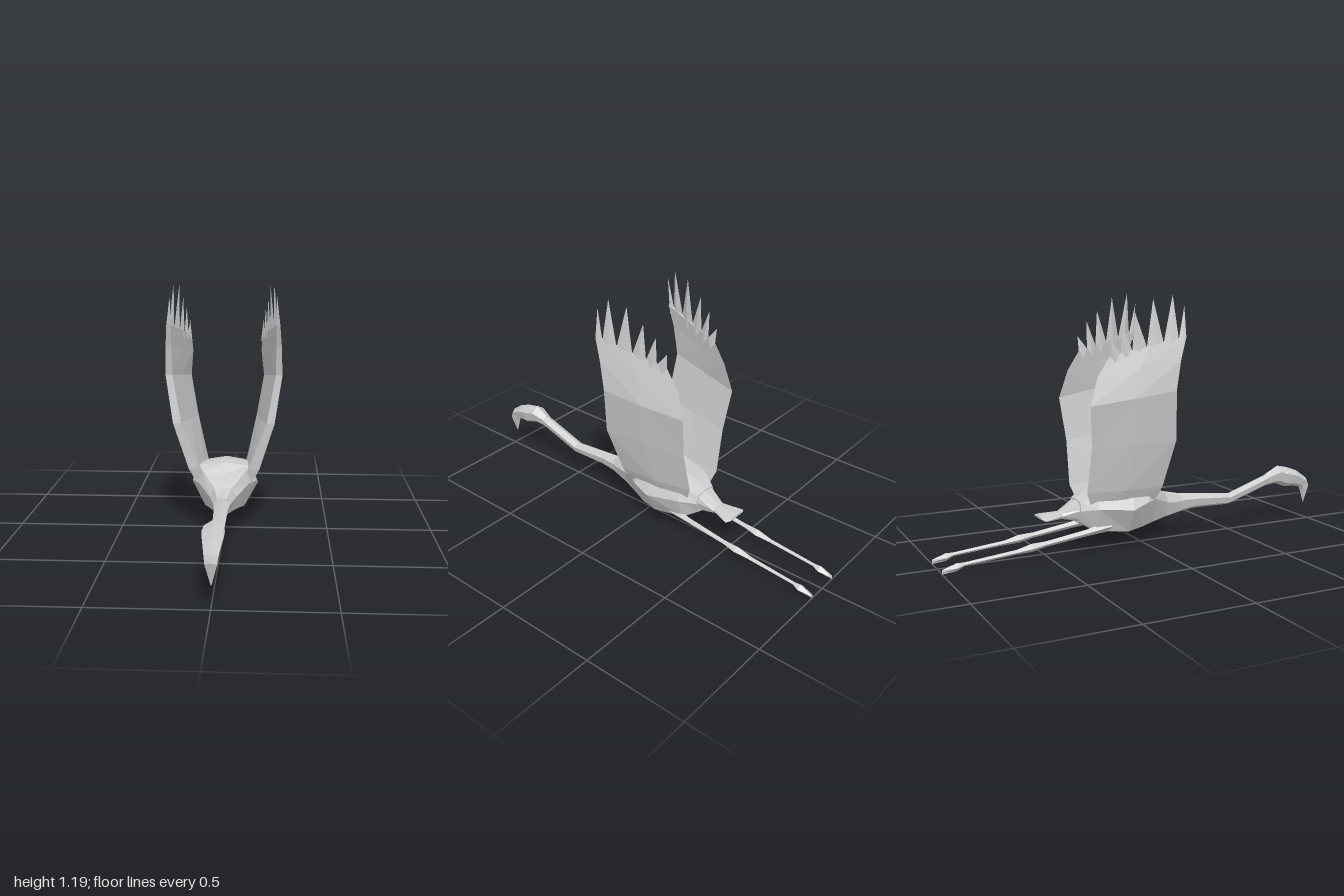
import * as THREE from 'three';

const material = new THREE.MeshStandardMaterial({ color: 0xcccccc, flatShading: true, side: THREE.DoubleSide });

// Skins a list of equal-sized point rings ([x, y, z]), closes both ends, faces outward.
function loft(name, rings) {
  const tris = [];
  const n = rings[0].length;
  const centre = (ring) => [0, 1, 2].map((k) => ring.reduce((s, p) => s + p[k], 0) / n);
  for (let i = 0; i < rings.length - 1; i++) {
    for (let j = 0; j < n; j++) {
      const k = (j + 1) % n;
      const a = rings[i][j], b = rings[i][k], c = rings[i + 1][k], d = rings[i + 1][j];
      tris.push([a, b, c], [a, c, d]);
    }
  }
  const first = rings[0], last = rings[rings.length - 1];
  for (let j = 0; j < n; j++) {
    const k = (j + 1) % n;
    tris.push([centre(first), first[k], first[j]], [centre(last), last[j], last[k]]);
  }
  // A negative enclosed volume means the faces point inward
  let volume = 0;
  for (const [a, b, c] of tris) {
    volume += new THREE.Vector3(...a).dot(new THREE.Vector3(...b).cross(new THREE.Vector3(...c)));
  }
  if (volume < 0) tris.forEach((t) => t.reverse());
  const geometry = new THREE.BufferGeometry();
  geometry.setAttribute('position', new THREE.Float32BufferAttribute(tris.flat(2), 3));
  geometry.computeVertexNormals();
  const mesh = new THREE.Mesh(geometry, material);
  mesh.name = name;
  return mesh;
}

// Six-sided ring between a top and a bottom point of the centre line
function neckRing([topZ, topY, botZ, botY, w]) {
  const at = (x, t) => [x, topY + (botY - topY) * t, topZ + (botZ - topZ) * t];
  return [at(0, 0), at(w, 0.3), at(w * 0.75, 0.8), at(0, 1), at(-w * 0.75, 0.8), at(-w, 0.3)];
}

// Eight-sided body ring: spine, deck edge, flank, lower flank, keel
function bodyRing([z, topY, deckX, deckY, sideX, sideY, lowX, lowY, botY]) {
  return [
    [0, topY, z], [deckX, deckY, z], [sideX, sideY, z], [lowX, lowY, z],
    [0, botY, z], [-lowX, lowY, z], [-sideX, sideY, z], [-deckX, deckY, z],
  ];
}

// Diamond ring for the thin legs
const legRing = (x) => ([z, y, w, h]) => [[x, y + h, z], [x + w, y, z], [x, y - h, z], [x - w, y, z]];

const mix = (a, b, t) => a + (b - a) * t;

function createWing(side) {
  const wing = new THREE.Group();
  wing.name = side > 0 ? 'leftWing' : 'rightWing';

  // Leading edge x, y, z; trailing edge x, y, z; thickness
  const sections = [
    [0.12, 0.2, 0.0, 0.08, 0.2, -0.29, 0.04],
    [0.17, 0.3, 0.03, 0.105, 0.29, -0.325, 0.05],
    [0.24, 0.53, 0.065, 0.15, 0.5, -0.32, 0.035],
    [0.275, 0.76, 0.045, 0.185, 0.7, -0.34, 0.028],
    [0.27, 0.9, 0.07, 0.172, 0.83, -0.3, 0.022],
    [0.262, 1.0, 0.1, 0.175, 0.92, -0.24, 0.016],
  ];
  wing.add(loft('wingBlade', sections.map(([lx, ly, lz, tx, ty, tz, t]) => {
    const at = (f, dx) => [side * (mix(lx, tx, f) + dx), mix(ly, ty, f), mix(lz, tz, f)];
    return [at(0, 0), at(0.03, -t), at(0.5, -t * 0.6), at(1, 0), at(0.5, t * 0.3)];
  })));

  // Pointed flight feathers along the wing end; tips as x, y, z
  const tips = [
    [0.245, 1.14, 0.098], [0.232, 1.19, 0.045], [0.215, 1.172, -0.045],
    [0.205, 1.11, -0.13], [0.193, 1.06, -0.19], [0.182, 0.99, -0.243],
  ];
  const splits = [0, 0.1, 0.3, 0.52, 0.71, 0.86, 1];
  const [lx, ly, lz, tx, ty, tz] = sections[sections.length - 1];
  tips.forEach(([x, y, z], i) => {
    const base = (f, dx, dy) => [side * (mix(lx, tx, f) + dx), mix(ly, ty, f) + dy, mix(lz, tz, f)];
    const a = splits[i], b = splits[i + 1], m = (a + b) / 2;
    const root = [base(a, 0, 0), base(m, 0.007, -0.04), base(b, 0, 0), base(m, -0.012, -0.04)];
    wing.add(loft('flightFeather', [root, root.map(() => [side * x, y, z])]));
  });
  return wing;
}

function createLeg(side) {
  const leg = new THREE.Group();
  leg.name = side > 0 ? 'leftLeg' : 'rightLeg';
  const ring = legRing(side * 0.085);
  // Thigh, knee and shin: z, y, half width, half height
  leg.add(loft('shank', [
    [-0.2, 0.12, 0.02, 0.025], [-0.32, 0.1, 0.014, 0.016], [-0.52, 0.073, 0.012, 0.013],
    [-0.59, 0.064, 0.022, 0.019], [-0.66, 0.054, 0.012, 0.011], [-0.91, 0.031, 0.009, 0.009],
  ].map(ring)));
  leg.add(loft('foot', [
    [-0.9, 0.032, 0.008, 0.008], [-0.935, 0.024, 0.021, 0.018], [-1, 0.01, 0.002, 0.01],
  ].map(ring)));
  return leg;
}

export function createModel() {
  const bird = new THREE.Group();
  bird.name = 'flyingWadingBird';

  // Head and down-bent bill
  bird.add(loft('head', [
    [0.73, 0.265, 0.72, 0.203, 0.026], [0.8, 0.3, 0.79, 0.208, 0.042], [0.86, 0.287, 0.85, 0.185, 0.046],
    [0.92, 0.265, 0.9, 0.184, 0.038],
  ].map(neckRing)));
  bird.add(loft('bill', [
    [0.92, 0.265, 0.9, 0.184, 0.038], [0.985, 0.22, 0.94, 0.175, 0.029],
    [1, 0.19, 0.95, 0.155, 0.025], [0.972, 0.09, 0.97, 0.09, 0.002],
  ].map(neckRing)));
  for (const side of [1, -1]) {
    const eye = new THREE.Mesh(new THREE.OctahedronGeometry(0.012), material);
    eye.name = 'eye';
    eye.position.set(side * 0.041, 0.262, 0.835);
    eye.scale.x = 0.6;
    bird.add(eye);
  }

  // Outstretched neck
  bird.add(loft('neck', [
    [0.75, 0.268, 0.74, 0.207, 0.028], [0.5, 0.185, 0.5, 0.13, 0.028], [0.3, 0.205, 0.3, 0.132, 0.032],
    [0.16, 0.22, 0.16, 0.115, 0.044],
  ].map(neckRing)));

  // Body narrowing into the tail
  bird.add(loft('body', [
    [0.22, 0.213, 0.022, 0.205, 0.037, 0.18, 0.025, 0.135, 0.122],
    [0.12, 0.23, 0.04, 0.23, 0.065, 0.19, 0.045, 0.12, 0.105],
    [0.03, 0.275, 0.1, 0.285, 0.12, 0.23, 0.075, 0.11, 0.085],
    [-0.03, 0.318, 0.125, 0.305, 0.155, 0.23, 0.095, 0.1, 0.07],
    [-0.11, 0.322, 0.12, 0.3, 0.162, 0.2, 0.1, 0.085, 0.058],
    [-0.27, 0.29, 0.09, 0.275, 0.12, 0.21, 0.085, 0.105, 0.095],
    [-0.34, 0.247, 0.055, 0.24, 0.07, 0.2, 0.045, 0.145, 0.135],
  ].map(bodyRing)));
  bird.add(loft('tail', [
    [-0.3, 0.265, 0.06, 0.255, 0.07, 0.21, 0.05, 0.15, 0.13],
    [-0.42, 0.195, 0.03, 0.19, 0.038, 0.178, 0.03, 0.165, 0.16],
    [-0.51, 0.188, 0.055, 0.182, 0.07, 0.172, 0.05, 0.165, 0.165],
    [-0.525, 0.186, 0.045, 0.182, 0.055, 0.178, 0.045, 0.175, 0.174],
  ].map(bodyRing)));

  for (const side of [1, -1]) bird.add(createWing(side), createLeg(side));
  return bird;
}
